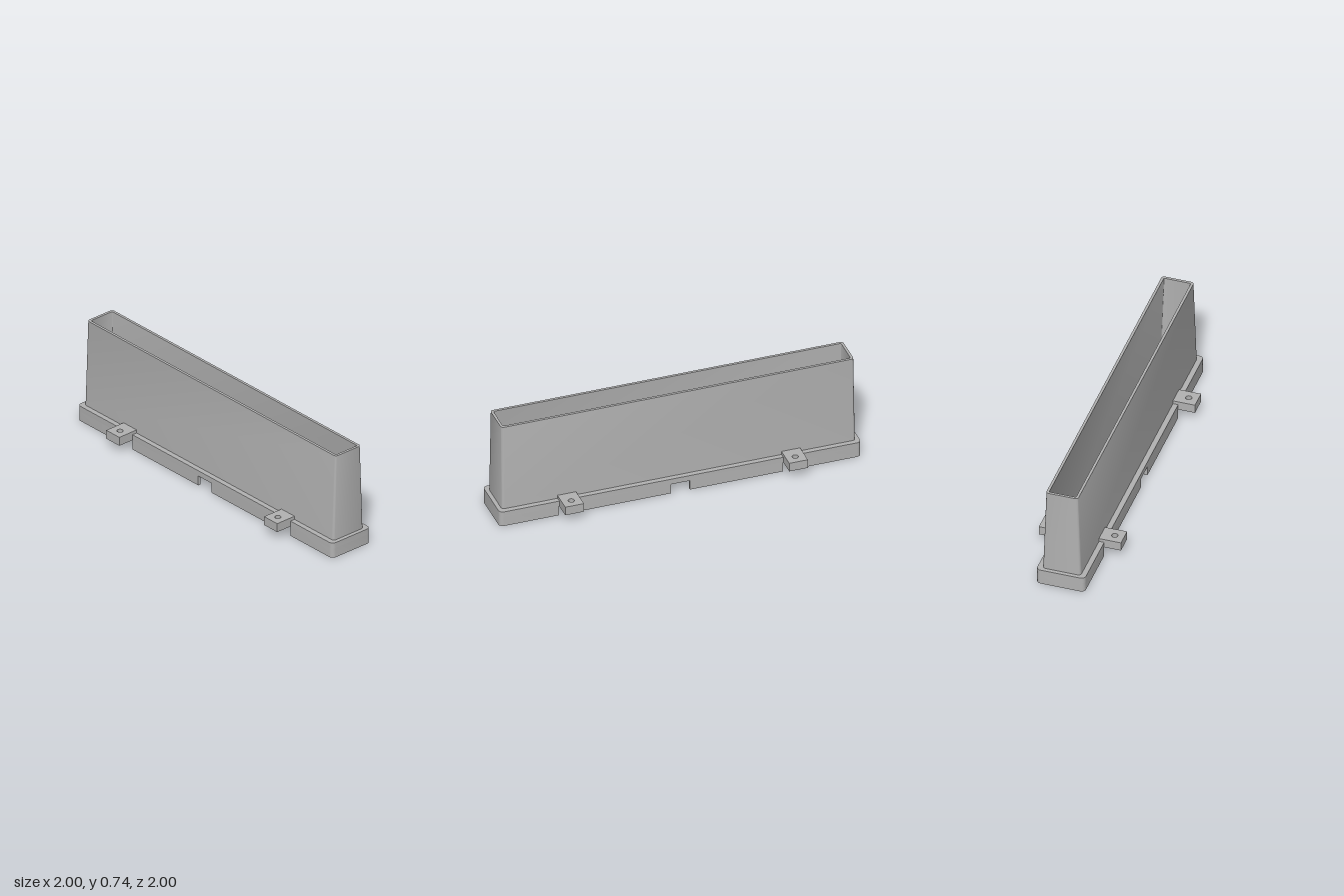
import * as THREE from 'three';
import { toCreasedNormals } from 'three/addons/utils/BufferGeometryUtils.js';

const LEDGE = 0.07, BASE_TOP = 0.11, TOP = 0.735;   // key heights
const BASE = { l: 1.264, w: 0.168, r: 0.03 };       // half length, half width, corner radius
const SOCKET = { l: 1.242, w: 0.146, r: 0.014 };
const TAB_X = 0.783, NOTCH = 0.066;                 // tab position, half notch width

// Counter-clockwise outline of a rounded rectangle
function outline({ l, w, r }, steps = 5) {
  const pts = [];
  [[1, 1], [-1, 1], [-1, -1], [1, -1]].forEach(([sx, sy], c) => {
    for (let i = 0; i <= steps; i++) {
      const a = (c + i / steps) * Math.PI / 2;
      pts.push(new THREE.Vector2(sx * (l - r) + r * Math.cos(a), sy * (w - r) + r * Math.sin(a)));
    }
  });
  return pts;
}

// Extrude a plan shape upwards from y0 to y1
function slab(shape, y0, y1) {
  const g = new THREE.ExtrudeGeometry(shape, { depth: y1 - y0, bevelEnabled: false, curveSegments: 10 });
  g.rotateX(-Math.PI / 2).translate(0, y0, 0);
  return toCreasedNormals(g, 0.5);
}

// Skin through a chain of rounded rectangles
function loft(sections) {
  const pos = [], index = [];
  let n = 0;
  for (const s of sections) {
    const pts = outline(s);
    n = pts.length;
    pts.forEach(p => pos.push(p.x, s.y, -p.y));
  }
  for (let k = 0; k < sections.length - 1; k++) {
    for (let i = 0; i < n; i++) {
      const a = k * n + i, b = k * n + (i + 1) % n;
      index.push(a, b, b + n, a, b + n, a + n);
    }
  }
  const g = new THREE.BufferGeometry();
  g.setAttribute('position', new THREE.Float32BufferAttribute(pos, 3));
  g.setIndex(index);
  return toCreasedNormals(g.toNonIndexed(), 0.5);
}

export function createModel() {
  const grey = new THREE.MeshStandardMaterial({ color: 0xb2b2b2 });
  grey.name = 'grey plastic';
  const model = new THREE.Group();
  model.name = 'ductAdapter';
  const body = new THREE.Group();
  body.name = 'duct';
  body.rotation.y = -Math.PI / 4;   // long axis lies on the diagonal
  model.add(body);
  const add = (name, geometry) => {
    const m = new THREE.Mesh(geometry, grey);
    m.name = name;
    body.add(m);
    return m;
  };

  // Tapered hollow wall, open at top and bottom
  const innerLow = { l: 1.217, w: 0.115, r: 0.008, y: LEDGE };
  add('ductWall', loft([
    { l: 1.236, w: 0.132, r: 0.02, y: BASE_TOP },
    { l: 1.233, w: 0.111, r: 0.02, y: TOP },
    { l: 1.215, w: 0.093, r: 0.008, y: TOP },
    innerLow,
  ]));

  // Flange plate with the ledge around the opening
  const plate = new THREE.Shape(outline(BASE));
  plate.holes.push(new THREE.Path(outline(innerLow)));
  add('flange', slab(plate, LEDGE, BASE_TOP));

  // Socket skirt: a U at each end and straight runs between the notches
  const cut = TAB_X + NOTCH;
  const half = size => outline(size).filter(p => p.x > 0);
  const outer = half(BASE), inner = half(SOCKET);
  const upper = p => p.filter(q => q.y > 0), lower = p => p.filter(q => q.y < 0);
  const endShape = new THREE.Shape([
    new THREE.Vector2(cut, -BASE.w), ...lower(outer), ...upper(outer), new THREE.Vector2(cut, BASE.w),
    new THREE.Vector2(cut, SOCKET.w), ...upper(inner).reverse(), ...lower(inner).reverse(),
    new THREE.Vector2(cut, -SOCKET.w),
  ]);
  const endGeometry = slab(endShape, 0, LEDGE);
  const run = TAB_X - 2 * NOTCH;
  const runGeometry = new THREE.BoxGeometry(run, LEDGE, BASE.w - SOCKET.w);

  // Mounting tab with a screw hole
  const tabShape = new THREE.Shape([
    new THREE.Vector2(-0.065, -0.284), new THREE.Vector2(0.065, -0.284),
    new THREE.Vector2(0.065, -0.122), new THREE.Vector2(-0.065, -0.122),
  ]);
  const hole = new THREE.Path();
  hole.absarc(0, -0.22, 0.021, 0, Math.PI * 2, true);
  tabShape.holes.push(hole);
  const tabGeometry = slab(tabShape, LEDGE, 0.133);

  for (const sx of [-1, 1]) {
    add('skirtEnd', endGeometry).rotation.y = sx > 0 ? 0 : Math.PI;
    for (const sz of [-1, 1]) {
      add('skirtSide', runGeometry).position.set(sx * TAB_X / 2, LEDGE / 2, sz * (BASE.w + SOCKET.w) / 2);
      const tab = add('mountingTab', tabGeometry);
      tab.position.x = sx * TAB_X;
      tab.rotation.y = sz > 0 ? 0 : Math.PI;
    }
  }
  return model;
}
